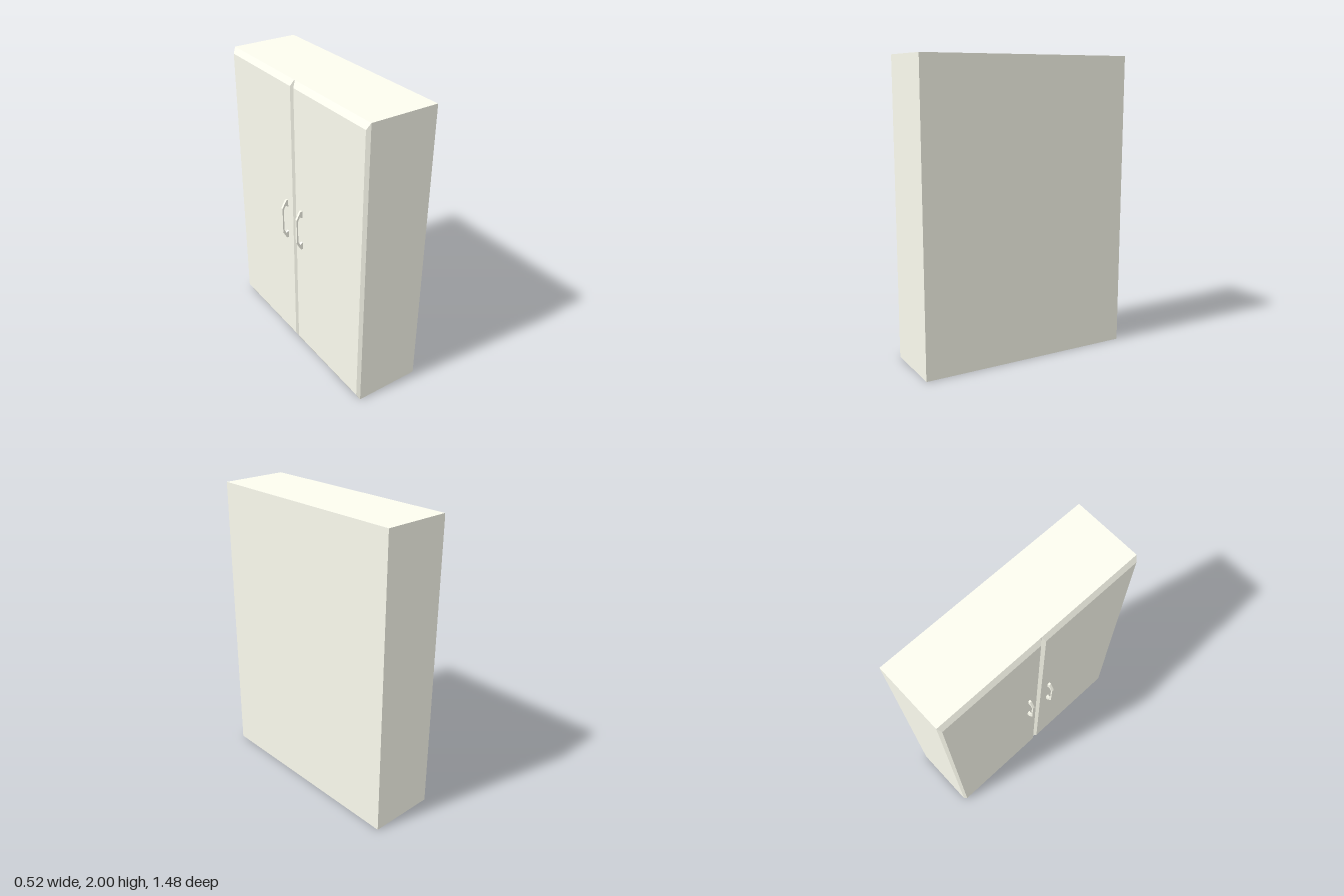
import * as THREE from 'three';

const material = new THREE.MeshStandardMaterial({ color: 0xfcfcef, flatShading: true });

// Planes where the doors meet the carcass and where their outer faces lie
const DOOR_BACK = -0.195, DOOR_FACE = -0.217;

function addMesh(parent, name, geometry) {
  const mesh = new THREE.Mesh(geometry, material);
  mesh.name = name;
  parent.add(mesh);
  return mesh;
}

// Door panel facing -x, bevelled from its back edge to its outer face
function doorGeometry(width, height) {
  const geometry = new THREE.BoxGeometry(1, height, width);
  const p = geometry.attributes.position;
  for (let i = 0; i < p.count; i++) {
    const y = p.getY(i), z = p.getZ(i);
    if (p.getX(i) < 0) p.setXYZ(i, DOOR_FACE, y - Math.sign(y) * 0.04, z - Math.sign(z) * 0.016);
    else p.setX(i, DOOR_BACK);
  }
  geometry.computeVertexNormals();
  return geometry;
}

// Flat bow handle, drawn in the x-y plane around mid height
function handleGeometry(thickness) {
  const outer = [[DOOR_FACE, 0.146], [-0.231, 0.146], [-0.262, 0.09]];
  const inner = [[-0.252, 0.076], [-0.238, 0.106], [DOOR_FACE, 0.096]];
  const flip = (pts) => pts.map(([x, y]) => [x, -y]).reverse();
  const outline = [...outer, ...flip(outer), ...flip(inner), ...inner];
  const shape = new THREE.Shape(outline.map(([x, y]) => new THREE.Vector2(x, y)));
  const geometry = new THREE.ExtrudeGeometry(shape, { depth: thickness, bevelEnabled: false });
  return geometry.translate(0, 0, -thickness / 2);
}

export function createModel() {
  const cabinet = new THREE.Group();
  cabinet.name = 'cabinet';

  const height = 2, halfWidth = 0.74, gap = 0.003, back = 0.262;

  // Carcass
  addMesh(cabinet, 'body', new THREE.BoxGeometry(back - DOOR_BACK, height, halfWidth * 2))
    .position.set((back + DOOR_BACK) / 2, height / 2, 0);

  // Pair of doors with handles beside the middle gap
  const door = doorGeometry(halfWidth - gap, height);
  const handle = handleGeometry(0.016);
  for (const side of [-1, 1]) {
    const label = side < 0 ? 'right' : 'left';
    addMesh(cabinet, label + 'Door', door).position.set(0, height / 2, side * (halfWidth + gap) / 2);
    addMesh(cabinet, label + 'Handle', handle).position.set(0, 1.002, side * 0.087);
  }

  return cabinet;
}
